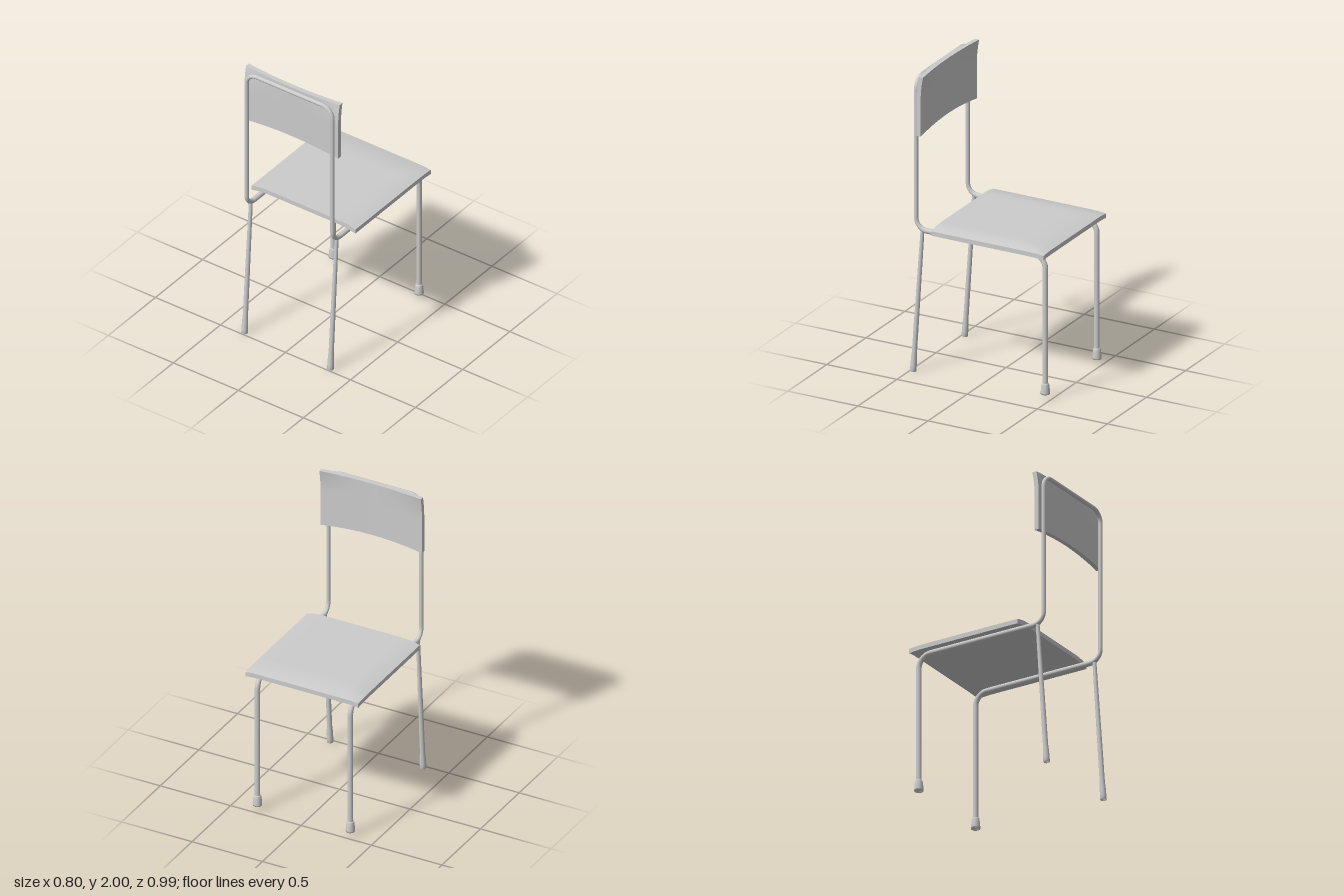
import * as THREE from 'three';

const grey = new THREE.MeshStandardMaterial({ color: 0xcccccc, side: THREE.DoubleSide });
const v = (x, y, z) => new THREE.Vector3(x, y, z);

function add(parent, name, geometry) {
  const mesh = new THREE.Mesh(geometry, grey);
  mesh.name = name;
  parent.add(mesh);
  return mesh;
}

// Straight runs joined by rounded corners; bends[i] is the radius at points[i]
function bentPath(points, bends) {
  const path = new THREE.CurvePath();
  let last = points[0];
  for (let i = 1; i < points.length - 1; i++) {
    const p = points[i], r = bends[i];
    const a = p.clone().add(points[i - 1].clone().sub(p).setLength(r));
    const b = p.clone().add(points[i + 1].clone().sub(p).setLength(r));
    const k = 0.4477; // handle position for a circular quarter bend
    path.add(new THREE.LineCurve3(last, a));
    path.add(new THREE.CubicBezierCurve3(a, a.clone().lerp(p, 1 - k), b.clone().lerp(p, 1 - k), b));
    last = b;
  }
  path.add(new THREE.LineCurve3(last, points[points.length - 1]));
  return path;
}

// Tube whose radius depends on the position along the path
function taperedTube(path, segments, sides, radiusAt) {
  const geo = new THREE.TubeGeometry(path, segments, 1, sides, false);
  const pos = geo.attributes.position, p = v(0, 0, 0);
  for (let i = 0; i <= segments; i++) {
    const centre = path.getPointAt(i / segments);
    for (let j = 0; j <= sides; j++) {
      const n = i * (sides + 1) + j;
      p.fromBufferAttribute(pos, n).sub(centre).multiplyScalar(radiusAt(centre)).add(centre);
      pos.setXYZ(n, p.x, p.y, p.z);
    }
  }
  return geo;
}

// Subdivided box bent by a rule that edits each vertex
function bentSlab(w, h, d, sx, sy, sz, rule) {
  const geo = new THREE.BoxGeometry(w, h, d, sx, sy, sz);
  const pos = geo.attributes.position, p = v(0, 0, 0);
  for (let i = 0; i < pos.count; i++) {
    rule(p.fromBufferAttribute(pos, i));
    pos.setXYZ(i, p.x, p.y, p.z);
  }
  geo.computeVertexNormals();
  return geo;
}

const lathe = (pts) => new THREE.LatheGeometry(pts.map(([r, y]) => new THREE.Vector2(r, y)), 20);

export function createModel() {
  const chair = new THREE.Group();
  chair.name = 'chair';
  const X = 0.33, FRONT = -0.463, BACK = 0.457, RAIL = 0.962, TOP = 1.978;

  // One continuous bent tube: leg, seat rail, back post, top bar and back down again
  const half = [v(X, 0.05, FRONT), v(X, RAIL, FRONT), v(X, RAIL, BACK), v(X, TOP, BACK)];
  const mirrored = half.map((p) => v(-p.x, p.y, p.z)).reverse();
  const path = bentPath([...half, ...mirrored], [0, 0.085, 0.075, 0.08, 0.08, 0.075, 0.085, 0]);
  path.arcLengthDivisions = 2000;
  const radiusAt = (p) => 0.0175 - 0.0035 * THREE.MathUtils.smoothstep(p.z, 0.38, 0.45);
  add(chair, 'tubeFrame', taperedTube(path, 420, 14, radiusAt));

  for (const [side, label] of [[1, 'left'], [-1, 'right']]) {
    // Splayed leg under the backrest, flared and hollow at the floor
    const leg = add(chair, label + 'SplayedLeg', lathe([
      [0, 0.03], [0.014, 0.03], [0.014, 0.001], [0.021, 0.001], [0.0205, 0.03], [0.019, 0.09],
      [0.0165, 0.12], [0.016, 0.3], [0.0125, 0.96],
    ]));
    leg.position.set(side * X, 0, 0.479);
    leg.rotation.x = -0.069;

    // Rubber foot on the straight leg
    const foot = add(chair, label + 'Foot', lathe([
      [0, 0.055], [0.018, 0.055], [0.018, 0.035], [0.029, 0.035], [0.0295, 0.045], [0.027, 0.075],
      [0.024, 0.1], [0.021, 0.107], [0.016, 0.108],
    ]));
    foot.position.set(side * X, 0, FRONT);
  }

  // Seat board, rolled down along its sides and leading edge
  const seat = bentSlab(0.8, 0.03, 0.8, 32, 1, 32, (p) => {
    const sideRoll = Math.max(0, (Math.abs(p.x) - 0.27) / 0.13);
    const edgeRoll = Math.max(0, (-p.z - 0.22) / 0.18);
    p.y -= 0.018 * Math.hypot(sideRoll ** 2, edgeRoll ** 2);
  });
  add(chair, 'seat', seat).position.set(0, 1.001, -0.09);

  // Backrest board, arched below with its upper corners curling forward
  const back = bentSlab(0.72, 0.4, 0.03, 32, 20, 1, (p) => {
    const u = (p.x / 0.36) ** 2;
    const curl = Math.max(0, (p.y - 0.04) / 0.16);
    p.z -= 0.005 * u + 0.017 * u * curl ** 2;
    p.y += 0.028 * (1 - u) * (0.2 - p.y) / 0.4;
  });
  add(chair, 'backrest', back).position.set(0, 1.8, 0.429);

  return chair;
}
